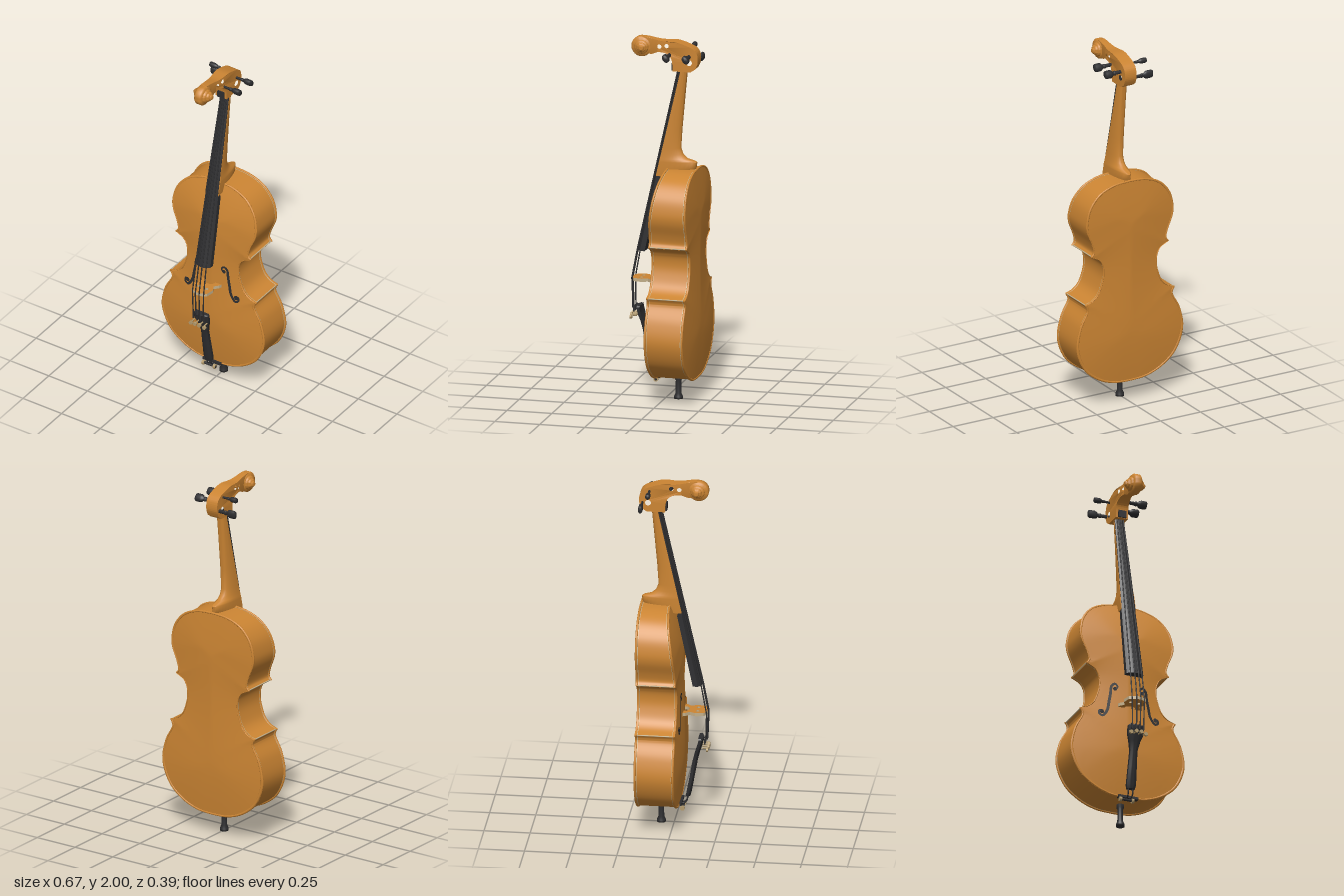
import * as THREE from 'three';
import { toCreasedNormals } from 'three/addons/utils/BufferGeometryUtils.js';

const mat = (name, color, side = THREE.FrontSide) =>
  Object.assign(new THREE.MeshStandardMaterial({ color, side }), { name });
const V2 = (p) => new THREE.Vector2(p[0], p[1]);
const V3 = (x, y, z) => new THREE.Vector3(x, y, z);
const lerp = THREE.MathUtils.lerp;

// Joins rings of points into a skin; rings run counter-clockwise about the direction of travel
function loft(rings, { closed = true, caps = false, crease = 0.6 } = {}) {
  const n = rings[0].length, pos = rings.flat().flatMap((p) => [p.x, p.y, p.z]), idx = [];
  for (let j = 0; j < rings.length - 1; j++)
    for (let i = 0; i < (closed ? n : n - 1); i++) {
      const a = j * n + i, b = j * n + (i + 1) % n;
      idx.push(a, b, b + n, a, b + n, a + n);
    }
  if (caps) [0, rings.length - 1].forEach((j) => {
    const c = rings[j].reduce((s, p) => s.add(p), V3(0, 0, 0)).divideScalar(n);
    const k = pos.length / 3;
    pos.push(c.x, c.y, c.z);
    for (let i = 0; i < n; i++) {
      const a = j * n + i, b = j * n + (i + 1) % n;
      idx.push(...(j ? [k, a, b] : [k, b, a]));
    }
  });
  const g = new THREE.BufferGeometry();
  g.setAttribute('position', new THREE.Float32BufferAttribute(pos, 3));
  g.setIndex(idx);
  return toCreasedNormals(g, crease);
}

// Right half of the body outline, bottom to top: lower bout, waist, upper bout
const half = [
  [[0, .12], [.1, .127], [.2, .165], [.287, .24], [.333, .36], [.314, .48], [.273, .56], [.268, .585], [.28, .61]],
  [[.28, .613], [.235, .63], [.2, .665], [.178, .72], [.168, .77], [.172, .82], [.19, .855], [.215, .872], [.243, .885]],
  [[.243, .888], [.228, .91], [.24, .96], [.268, 1.03], [.272, 1.09], [.25, 1.17], [.19, 1.24], [.1, 1.277], [0, 1.285]],
].flatMap((s) => new THREE.SplineCurve(s.map(V2)).getPoints(36));
const outline = [...half, ...half.slice(1, -1).reverse().map((p) => new THREE.Vector2(-p.x, p.y))];

// Edge height of the belly, and the gentle arching of both plates by distance from the edge
const edgeZ = (y) => 0.03 - 0.05 * Math.max(0, (y - 0.85) / 0.435) ** 2;
const backZ = -0.175;
const arch = (x, y) => {
  const d = Math.min(...half.map((p) => Math.hypot(p.x - Math.abs(x), p.y - y)));
  return 1 - (1 - Math.min(1, d / 0.3)) ** 1.6;
};
const bellyZ = (x, y) => edgeZ(y) + 0.002 + 0.03 * arch(x, y);
// Front line of the fingerboard
const boardZ = (y) => -0.075 + 0.23 * (1.83 - y) / 1.015;

export function createModel() {
  const wood = mat('varnished wood', 0xcc8533);
  const ebony = mat('ebony', 0x2e2e30, THREE.DoubleSide);
  const maple = mat('pale maple', 0xc4b08a);
  const brass = mat('dull brass', 0xb39a6c);
  const model = new THREE.Group();
  const add = (name, geo, m, x = 0, y = 0, z = 0) => {
    const mesh = new THREE.Mesh(geo, m);
    mesh.name = name;
    mesh.position.set(x, y, z);
    model.add(mesh);
    return mesh;
  };
  const rod = (name, pts, r, m) =>
    add(name, new THREE.TubeGeometry(new THREE.CatmullRomCurve3(pts), 24, r, 8), m);

  // Body: arched plates, raised rounded rims and ribs
  const plate = (zOf, dir) => loft(half.map((p) => Array.from({ length: 33 }, (_, i) => {
    const x = (i / 16 - 1) * dir * p.x;
    return V3(x, p.y, zOf(x, p.y));
  })), { closed: false });
  add('belly', plate(bellyZ, 1), wood);
  add('back', plate((x, y) => backZ - 0.002 - 0.02 * arch(x, y), -1), wood);
  const band = (s, z0, z1) => loft([z0, z1].map((zOf) => outline.map((p) =>
    V3(p.x * (1 - s), 0.7025 + (p.y - 0.7025) * (1 - s / 2), zOf(p.y)))));
  add('ribs', band(.025, () => backZ, edgeZ), wood);
  const rim = (zOf) => loft(Array.from({ length: 17 }, (_, k) => {
    const a = k / 8 * Math.PI, c = Math.cos(a) - 1;
    return outline.map((p) => V3(p.x * (1 + 0.024 * c), 0.7025 + (p.y - 0.7025) * (1 + 0.01 * c), zOf(p.y) + 0.0065 * Math.sin(a)));
  }));
  add('bellyRim', rim(edgeZ), wood);
  add('backRim', rim(() => backZ), wood);

  // Pale seams under the rims and down the rib corners
  add('bellySeam', band(.022, (y) => edgeZ(y) - .009, (y) => edgeZ(y) - .005), maple);
  add('backSeam', band(.022, () => backZ + .004, () => backZ + .01), maple);
  for (const s of [-1, 1]) for (const [x, y] of [[.273, .611], [.237, .887]]) {
    const d = edgeZ(y) - backZ;
    add('ribCorner', new THREE.CylinderGeometry(.0035, .0035, d, 10).rotateX(Math.PI / 2), maple, s * x, y, backZ + d / 2);
  }

  // Sound holes laid on the belly
  const fPath = new THREE.SplineCurve([[.077, .748], [.066, .765], [.08, .782], [.1, .765], [.106, .72], [.115, .67],
    [.125, .62], [.15, .583], [.172, .593], [.17, .612], [.157, .612]].map(V2));
  for (const s of [-1, 1]) {
    const on = (x, y) => V3(s * x, y, bellyZ(x, y) + 0.003);
    const strip = Array.from({ length: 61 }, (_, i) => {
      const t = i / 60, p = fPath.getPoint(t), d = fPath.getTangent(t), w = 0.003 + 0.005 * Math.sin(Math.PI * t);
      return [on(p.x - d.y * w, p.y + d.x * w), on(p.x + d.y * w, p.y - d.x * w)];
    });
    if (s > 0) strip.forEach((r) => r.reverse());
    strip.reverse();
    add('soundHole', loft(strip, { closed: false }), ebony);
    for (const [x, y, r] of [[.08, .752, .011], [.157, .607, .013]]) {
      const g = new THREE.CircleGeometry(r, 20), P = g.attributes.position;
      for (let i = 0; i < P.count; i++) {
        const q = on(x + s * P.getX(i), y + P.getY(i));
        P.setXYZ(i, q.x, q.y, q.z);
      }
      add('soundHoleEye', g, ebony);
    }
  }

  // Neck with heel: height, half width, back z
  add('neck', loft([[1.235, .042, -.1], [1.28, .043, -.17], [1.315, .043, -.175], [1.322, .043, -.165], [1.332, .042, -.125],
    [1.355, .04, -.098], [1.39, .038, -.085], [1.5, .035, -.092], [1.7, .03, -.11], [1.83, .028, -.122]].map(([y, w, zb]) => {
    const zf = boardZ(y) - 0.014, ring = [V3(-w, y, zf)];
    for (let i = 0; i < 20; i++) {
      const a = i / 20 * Math.PI;
      ring.push(V3(w * Math.cos(a), y, zf + (zb - zf) * Math.sin(a)));
    }
    return ring;
  }), { caps: true, crease: 0.8 }), wood);

  // Fingerboard: height, half width, crown, side thickness
  add('fingerboard', loft([[.815, .049, .022, .027], [1.02, .045, .02, .026], [1.22, .041, .017, .026], [1.25, .04, .012, .008],
    [1.5, .034, .009, .006], [1.84, .026, .007, .005]].map(([y, w, d, t]) => {
    const zf = boardZ(y), ring = [];
    for (let i = 0; i <= 12; i++) {
      const u = i / 6 - 1;
      ring.push(V3(u * w, y, zf - d * u * u));
    }
    ring.push(V3(w, y, zf - d - t), V3(-w, y, zf - d - t));
    return ring;
  }), { caps: true }), ebony);
  add('nut', new THREE.BoxGeometry(.044, .04, .009), ebony, 0, 1.842, -.042);

  // Pegbox: side profile (z, y) pierced, then narrowed towards the scroll
  const side = new THREE.Shape([[-.046, 1.82], [-.145, 1.82], [-.172, 1.838]].map(V2));
  side.splineThru([[-.186, 1.875], [-.182, 1.92], [-.16, 1.948], [-.12, 1.966], [-.06, 1.982], [.02, 1.982], [.1, 1.996],
    [.13, 1.99], [.13, 1.92], [.08, 1.905], [.04, 1.918], [0, 1.917], [-.03, 1.9], [-.043, 1.87], [-.046, 1.82]].map(V2));
  for (const [z, y, r] of [[.03, 1.95, .012], [-.012, 1.957, .012], [-.138, 1.872, .016]])
    side.holes.push(new THREE.Path().absarc(z, y, r, 0, Math.PI * 2, true));
  const box = new THREE.ExtrudeGeometry(side, { depth: 2, bevelEnabled: false, curveSegments: 40 })
    .translate(0, 0, -1).rotateY(-Math.PI / 2);
  const bp = box.attributes.position;
  for (let i = 0; i < bp.count; i++)
    bp.setX(i, bp.getX(i) * lerp(.036, .019, THREE.MathUtils.smoothstep(bp.getZ(i), -.06, .1)));
  add('pegbox', toCreasedNormals(box, 0.6), wood);

  // Scroll: stepped turns ending in the eye
  for (const [r, h, z, y] of [[.056, .022, .133, 1.943], [.038, .035, .13, 1.942], [.027, .048, .127, 1.942], [.015, .06, .125, 1.942]]) {
    const g = new THREE.LatheGeometry([[0, -h], [r - .006, -h], [r, -h + .007], [r, h - .007], [r - .006, h], [0, h]].map(V2), 36);
    add('scrollTurn', toCreasedNormals(g.rotateZ(Math.PI / 2), 0.9), wood, 0, y, z);
  }

  // Tuning pegs: side, height, z, length, head width and thickness, turn about the shaft
  const pegProfile = [[0, -.03], [.01, -.03], [.01, .03], [.013, .035], [.013, .043], [.01, .048], [.019, .056], [.023, .066],
    [.023, .092], [.019, .099], [0, .101]];
  for (const [s, y, z, k, wide, flat, turn] of [[1, 1.91, -.03, 1, 1, .7, .6], [1, 1.908, -.14, 1, 1, .7, .6],
    [-1, 1.872, -.168, 1.1, 1, .55, 0], [-1, 1.94, -.13, .92, .65, .6, 0]]) {
    const peg = add('tuningPeg', new THREE.LatheGeometry(pegProfile.map(V2), 20), ebony, s * .036, y, z);
    peg.rotation.set(turn, 0, -s * Math.PI / 2);
    peg.scale.set(wide, k, flat);
  }

  // Bridge: drawn in x and z with an arch between the feet and two round cuts, wooden faces and pale edges
  const br = new THREE.Shape([[-.066, .052], [-.03, .055], [-.028, .068]].map(V2));
  br.quadraticCurveTo(0, .1, .028, .068);
  [[.03, .055], [.066, .052], [.062, .066], [.042, .09], [.058, .12], [.05, .165]].forEach((p) => br.lineTo(...p));
  br.quadraticCurveTo(0, .205, -.05, .165);
  [[-.058, .12], [-.042, .09], [-.062, .066]].forEach((p) => br.lineTo(...p));
  for (const x of [-.024, .024])
    br.holes.push(new THREE.Path().absarc(x, .13, .01, 0, Math.PI * 2, true));
  add('bridge', new THREE.ExtrudeGeometry(br, { depth: .018, bevelEnabled: false }).rotateX(Math.PI / 2),
    [wood, maple], 0, .664, 0);

  // Tailpiece: height, half width, front z
  add('tailpiece', loft([[.16, .022, .088], [.18, .027, .094], [.28, .024, .112], [.37, .021, .128], [.42, .032, .14],
    [.455, .044, .152], [.5, .046, .163], [.508, .04, .16]].map(([y, w, z]) => {
    const ring = [];
    for (let i = 0; i <= 8; i++) {
      const u = i / 4 - 1;
      ring.push(V3(u * w, y, z - .01 * u * u));
    }
    ring.push(V3(w, y, z - .026), V3(-w, y, z - .026));
    return ring;
  }), { caps: true }), ebony);

  // Strings and fine tuners
  for (let i = 0; i < 4; i++) {
    const u = (i - 1.5) / 1.5, sag = u * u;
    const pts = [V3(u * .018, 1.845, -.073 - .003 * sag), V3(u * .033, .815, .158 - .008 * sag),
      V3(u * .036, .655, .188 - .009 * sag), V3(u * .032, .495, .181 - .005 * sag)];
    for (let j = 0; j < 3; j++) rod('string', [pts[j], pts[j + 1]], .0036, ebony);
    add('fineTunerArm', new THREE.BoxGeometry(.008, .03, .008), ebony, u * .034, .49, .17);
    add('fineTunerStem', new THREE.CylinderGeometry(.004, .004, .036, 8).rotateX(Math.PI / 2), brass, u * .04, .455, .17);
    add('fineTunerKnob', new THREE.CylinderGeometry(.011, .011, .011, 12).rotateX(Math.PI / 2), brass, u * .043, .455 - .008 * sag, .189 - .006 * sag);
  }

  // Tail cord, saddle and lower clamp
  for (const s of [-1, 1])
    rod('tailCord', [V3(s * .013, .18, .075), V3(s * .013, .135, .07), V3(s * .011, .118, .055), V3(s * .008, .122, .03)], .004, ebony);
  add('saddle', new THREE.BoxGeometry(.116, .014, .026), ebony, 0, .126, .034);
  add('clampBar', new THREE.CylinderGeometry(.007, .007, .08, 12).rotateZ(Math.PI / 2), ebony, -.01, .104, .05);
  for (const x of [-.05, .022])
    add('clampKnob', new THREE.CylinderGeometry(.013, .013, .013, 14).rotateZ(Math.PI / 2), brass, x, .103, .05);

  // End pin
  add('endPin', new THREE.LatheGeometry([[0, 0], [.024, 0], [.024, .012], [.016, .03], [.015, .1], [.02, .108], [.02, .13], [0, .13]].map(V2), 24), ebony, 0, 0, -.07);
  return model;
}
